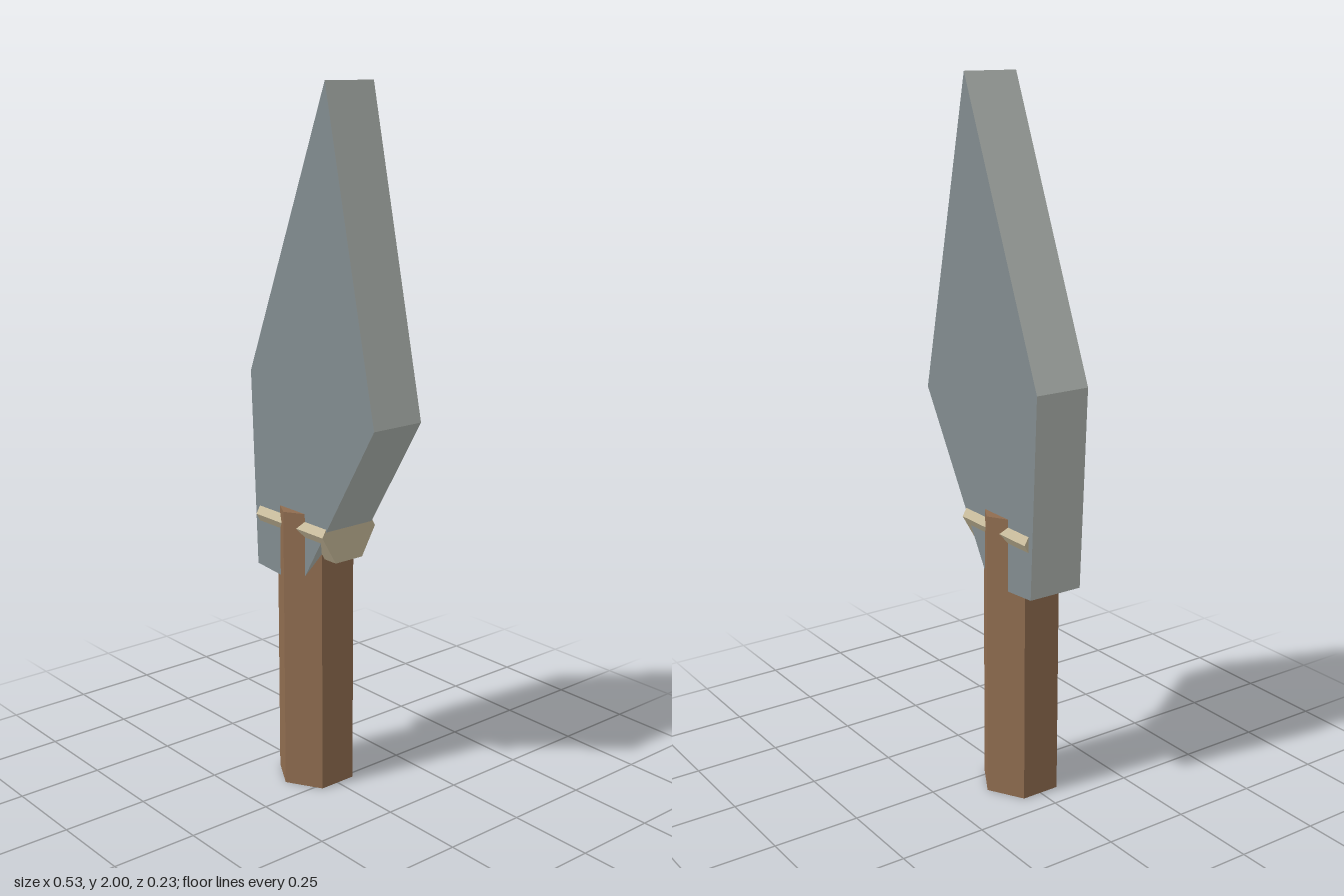
import * as THREE from 'three';

const paint = (name, color) => {
  const m = new THREE.MeshStandardMaterial({ color, flatShading: true });
  m.name = name;
  return m;
};

export function createModel() {
  const steel = paint('blueGreySteel', 0x828c8f);
  const edge = paint('paleSteelEdge', 0xb0b6b1);
  const wood = paint('brownWood', 0x906d50);
  const cord = paint('tanCord', 0xc6b999);

  const group = new THREE.Group();
  const add = (name, geometry, material, x, y, z) => {
    const mesh = new THREE.Mesh(geometry, material);
    mesh.name = name;
    mesh.position.set(x, y, z);
    group.add(mesh);
    return mesh;
  };

  // Hexagonal handle, with ridges at front and back
  add('handle', new THREE.CylinderGeometry(0.115, 0.115, 0.83, 6), wood, -0.08, 0.415, 0);

  // Lopsided blade slab: faces in one colour, ground edges in another
  const outline = [[0.065, 2], [-0.264, 1.2], [-0.241, 0.63], [-0.044, 0.615], [0.263, 1.12]];
  const shape = new THREE.Shape(outline.map(([x, y]) => new THREE.Vector2(x, y)));
  const blade = new THREE.ExtrudeGeometry(shape, { depth: 0.166, bevelEnabled: false });
  add('blade', blade, [steel, edge], 0, 0, -0.083);

  // Hexagonal binding running crosswise through blade and handle
  const binding = new THREE.CylinderGeometry(0.096, 0.096, 0.298, 6).rotateZ(Math.PI / 2);
  add('binding', binding, cord, -0.081, 0.785, 0);

  return group;
}
